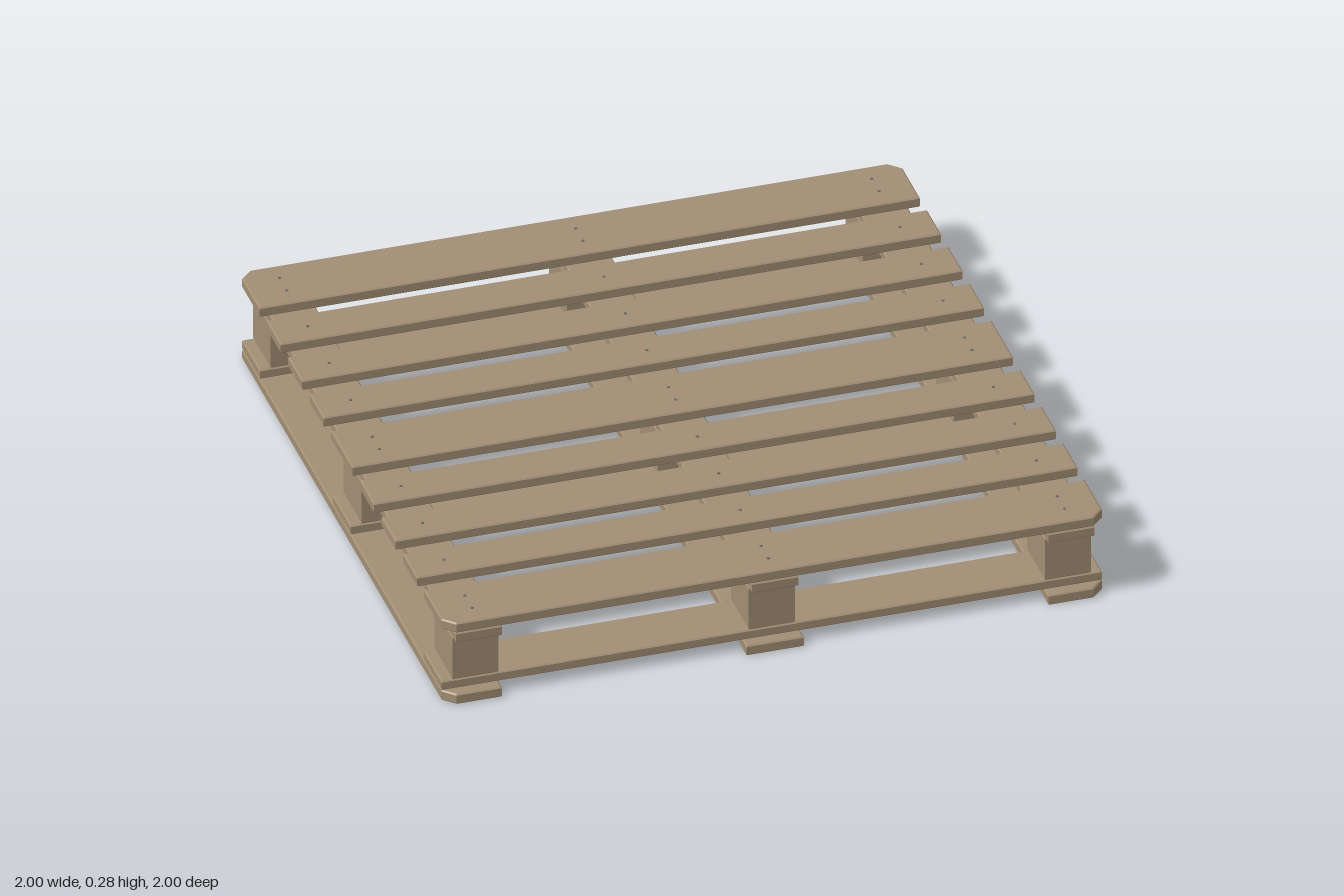
import * as THREE from 'three';

const BEVEL = 0.004;

export function createModel() {
  const pallet = new THREE.Group();
  pallet.name = 'pallet';
  const wood = new THREE.MeshStandardMaterial({ color: 0xa28e74 });
  wood.name = 'wood';
  const steel = new THREE.MeshStandardMaterial({ color: 0x6e6a64 });
  steel.name = 'nail steel';

  // Plank between two corners with eased edges; cut(sx, sz) gives the plan chamfer at a corner
  function plank(name, [x0, x1], [y0, y1], [z0, z1], cut = () => 0) {
    const cx = (x0 + x1) / 2, cz = (z0 + z1) / 2;
    const hx = (x1 - x0) / 2, hz = (z1 - z0) / 2;
    const points = [];
    for (const [sx, sy] of [[1, -1], [1, 1], [-1, 1], [-1, -1]]) {
      const c = cut(sx, -sy);
      const x = sx * hx, y = sy * hz;
      if (!c) {
        points.push(new THREE.Vector2(x, y));
        continue;
      }
      const onSide = new THREE.Vector2(x, y - sy * c);
      const onEnd = new THREE.Vector2(x - sx * c, y);
      points.push(...(sx * sy > 0 ? [onSide, onEnd] : [onEnd, onSide]));
    }
    const geometry = new THREE.ExtrudeGeometry(new THREE.Shape(points), {
      depth: y1 - y0 - 2 * BEVEL,
      bevelEnabled: true,
      bevelThickness: BEVEL,
      bevelSize: BEVEL,
      bevelOffset: -BEVEL,
      bevelSegments: 1,
    });
    geometry.rotateX(-Math.PI / 2);
    const mesh = new THREE.Mesh(geometry, wood);
    mesh.name = name;
    mesh.position.set(cx, y0 + BEVEL, cz);
    pallet.add(mesh);
  }

  const CHAMFER = 0.035;
  const blockX = [[-0.967, -0.827], [-0.07, 0.07], [0.827, 0.967]];
  const blockZ = [[-0.967, -0.794], [-0.087, 0.087], [0.794, 0.967]];
  const runnerX = [[-1, -0.827], [-0.087, 0.087], [0.827, 1]];

  // Bottom runners, front to back; the outer ones have clipped outer corners
  runnerX.forEach((x, i) => {
    const side = i - 1;
    plank('bottomRunner', x, [0, 0.034], [-1, 1], (sx) => (sx === side ? CHAMFER : 0));
  });

  // Lower cross boards, side to side
  for (const z of blockZ) plank('lowerCrossBoard', [-1, 1], [0.034, 0.065], z);

  // Nine spacer blocks, and the stringers resting on them
  for (const x of blockX) {
    for (const z of blockZ) plank('spacerBlock', x, [0.065, 0.21], z);
    plank('stringer', x, [0.21, 0.244], [-1, 1]);
  }

  // Deck: wide boards at the ends and middle, narrow slats between
  const TOP = 0.277;
  const deck = [{ z: 0, width: 0.207 }];
  for (const s of [-1, 1]) {
    deck.push({ z: s * 0.898, width: 0.204, end: s });
    for (const z of [0.244, 0.452, 0.66]) deck.push({ z: s * z, width: 0.137 });
  }
  const nailGeometry = new THREE.CylinderGeometry(0.005, 0.005, 0.006, 8);
  for (const { z, width, end } of deck) {
    plank(width > 0.2 ? 'wideDeckBoard' : 'deckSlat', [-1, 1], [0.244, TOP],
      [z - width / 2, z + width / 2], (sx, sz) => (sz === end ? CHAMFER : 0));
    // Nail heads over each stringer: two in wide boards, one in slats
    for (const x of [-0.897, 0, 0.897]) {
      for (const offset of width > 0.2 ? [-0.035, 0.035] : [0]) {
        const nail = new THREE.Mesh(nailGeometry, steel);
        nail.name = 'nailHead';
        nail.position.set(x, TOP - 0.001, z + offset);
        pallet.add(nail);
      }
    }
  }
  return pallet;
}
